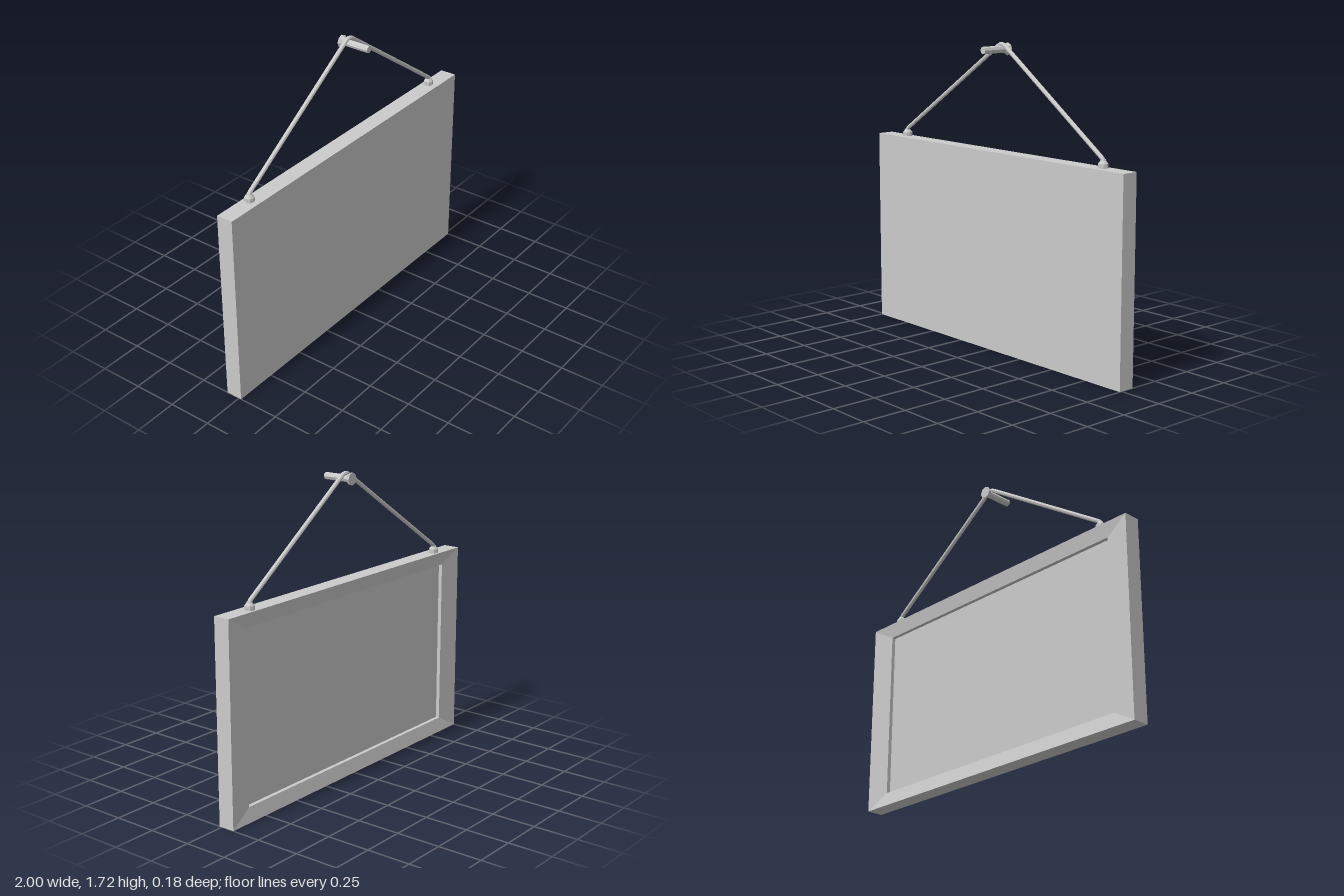
import * as THREE from 'three';

const material = new THREE.MeshStandardMaterial({ color: 0xcccccc, flatShading: true });

function addMesh(parent, name, geometry) {
  const mesh = new THREE.Mesh(geometry, material);
  mesh.name = name;
  parent.add(mesh);
  return mesh;
}

// Board skinned through rectangular rings: [half width, half height, z]
function boardGeometry(rings) {
  const corners = [[1, 1], [-1, 1], [-1, -1], [1, -1]];
  const at = (r, i) => {
    const [w, h, z] = rings[r];
    const [sx, sy] = corners[i % 4];
    return [sx * w, sy * h, z];
  };
  const pos = [];
  const quad = (a, b, c, d) => pos.push(...a, ...b, ...c, ...a, ...c, ...d);
  const last = rings.length - 1;
  for (let r = 0; r < last; r++) {
    for (let i = 0; i < 4; i++) quad(at(r, i), at(r + 1, i), at(r + 1, i + 1), at(r, i + 1));
  }
  quad(at(0, 0), at(0, 1), at(0, 2), at(0, 3));
  quad(at(last, 3), at(last, 2), at(last, 1), at(last, 0));
  const geometry = new THREE.BufferGeometry();
  geometry.setAttribute('position', new THREE.Float32BufferAttribute(pos, 3));
  geometry.computeVertexNormals();
  return geometry;
}

// Path with straight runs and mitred corners, one tube ring per point
class Polyline extends THREE.Curve {
  constructor(points) {
    super();
    this.points = points;
  }
  index(t) {
    return Math.round(t * (this.points.length - 1));
  }
  getPoint(t, target = new THREE.Vector3()) {
    return target.copy(this.points[this.index(t)]);
  }
  getPointAt(t, target) {
    return this.getPoint(t, target);
  }
  getTangentAt(t, target = new THREE.Vector3()) {
    const p = this.points, i = this.index(t);
    target.set(0, 0, 0);
    if (i > 0) target.add(p[i].clone().sub(p[i - 1]).normalize());
    if (i < p.length - 1) target.add(p[i + 1].clone().sub(p[i]).normalize());
    return target.normalize();
  }
}

function lathe(profile, sides) {
  return new THREE.LatheGeometry(profile.map(([r, y]) => new THREE.Vector2(r, y)), sides);
}

export function createModel() {
  const model = new THREE.Group();
  model.name = 'hangingSign';
  const cordZ = -0.043;

  // Flat front, sloped frame and stepped recess on the back
  const board = addMesh(model, 'board', boardGeometry([
    [1, 0.56, 0.015],
    [1, 0.56, -0.08],
    [0.86, 0.48, -0.063],
    [0.86, 0.48, -0.041],
  ]));
  board.position.y = 0.56;

  // Knobs that hold the cord ends
  for (const [name, x] of [['rightKnob', -0.797], ['leftKnob', 0.805]]) {
    const knob = addMesh(model, name, lathe(
      [[0, 0], [0.027, 0], [0.027, 0.025], [0.015, 0.04], [0.013, 0.047], [0, 0.047]], 8));
    knob.position.set(x, 1.118, cordZ);
  }

  // Cord running over the nail
  const path = [
    [-0.797, 1.13], [-0.797, 1.158], [-0.788, 1.17], [0.005, 1.692], [0.02, 1.7], [0.035, 1.703],
    [0.05, 1.7], [0.065, 1.692], [0.796, 1.17], [0.805, 1.158], [0.805, 1.13],
  ].map(([x, y]) => new THREE.Vector3(x, y, cordZ));
  addMesh(model, 'cord', new THREE.TubeGeometry(new Polyline(path), path.length - 1, 0.012, 8));

  // Nail with a flared head at the back
  const nail = addMesh(model, 'nail', lathe(
    [[0, -0.089], [0.035, -0.089], [0.035, -0.083], [0.02, -0.058], [0.02, 0.09], [0, 0.09]], 8));
  nail.rotation.x = Math.PI / 2;
  nail.position.set(0.033, 1.675, 0);

  return model;
}
